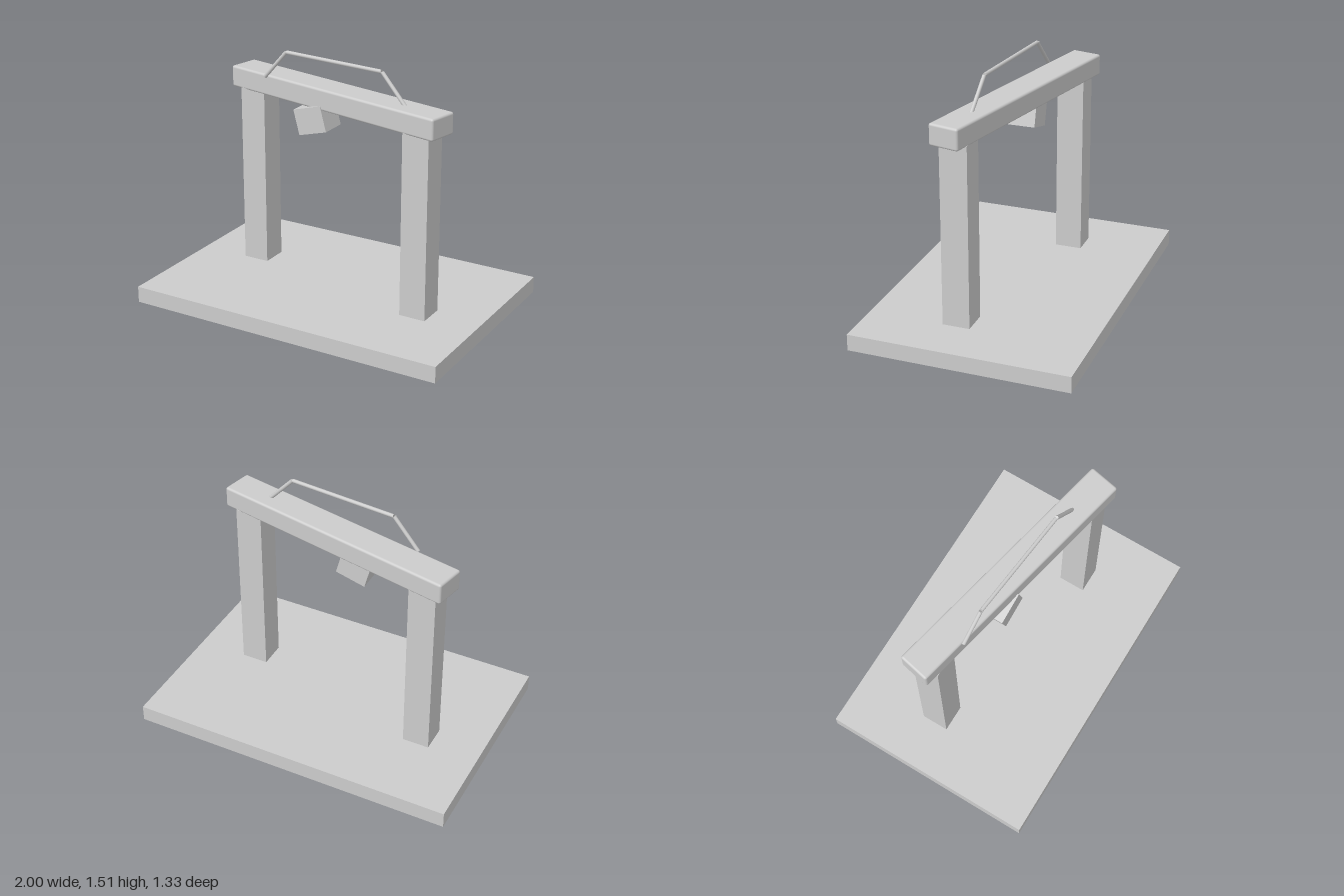
import * as THREE from 'three';
import { RoundedBoxGeometry } from 'three/addons/geometries/RoundedBoxGeometry.js';

export function createModel() {
  const model = new THREE.Group();
  const grey = new THREE.MeshStandardMaterial({ color: 0xcccccc });
  grey.name = 'plain grey';

  const add = (name, geometry, x = 0, y = 0, z = 0, parent = model) => {
    const mesh = new THREE.Mesh(geometry, grey);
    mesh.name = name;
    mesh.position.set(x, y, z);
    parent.add(mesh);
    return mesh;
  };

  // Base slab
  add('base', new THREE.BoxGeometry(2, 0.1, 1.333), 0, 0.05, 0);

  // Two square posts, set diagonally from each other
  for (const side of [-1, 1]) {
    add(side < 0 ? 'rightPost' : 'leftPost',
      new THREE.BoxGeometry(0.163, 1.12, 0.165), side * 0.617, 0.65, side * 0.127);
  }

  // Softly rounded crossbeam resting on both posts
  const beam = add('crossbeam', new RoundedBoxGeometry(1.552, 0.13, 0.19, 3, 0.014), 0, 1.267, 0);
  beam.rotation.y = -0.206;

  // Tilted block below the beam
  const block = add('hangingBlock', new THREE.BoxGeometry(0.187, 0.156, 0.17), -0.135, 1.131, 0.005);
  block.rotation.z = THREE.MathUtils.degToRad(15);

  // Bent rod handle: three straight runs, mitred where they meet
  const handle = new THREE.Group();
  handle.name = 'handle';
  handle.position.z = 0.05;
  handle.rotation.y = -Math.atan(0.1);
  model.add(handle);

  const path = [[-0.498, 1.323], [-0.338, 1.497], [0.338, 1.497], [0.498, 1.323]]
    .map(([x, y]) => new THREE.Vector2(x, y));
  const heading = i => path[i + 1].clone().sub(path[i]).angle();
  const bend = (i, j) => {
    if (i < 0 || j > 2) return 0;
    const turn = heading(j) - heading(i);
    return Math.tan(Math.atan2(Math.sin(turn), Math.cos(turn)) / 2);
  };
  for (let i = 0; i < 3; i++) {
    const length = path[i].distanceTo(path[i + 1]);
    const rod = new THREE.CylinderGeometry(0.0115, 0.0115, length, 12);
    const p = rod.attributes.position;
    const start = bend(i - 1, i), end = bend(i, i + 1);
    // Local +x is the outer side of the bend; slide each end to its mitre plane
    for (let v = 0; v < p.count; v++) {
      const x = p.getX(v), y = p.getY(v);
      p.setY(v, y > 0 ? y - x * end : y + x * start);
    }
    const mid = path[i].clone().add(path[i + 1]).multiplyScalar(0.5);
    const mesh = add('handleRod' + (i + 1), rod, mid.x, mid.y, 0, handle);
    mesh.rotation.z = heading(i) - Math.PI / 2;
  }
  return model;
}
